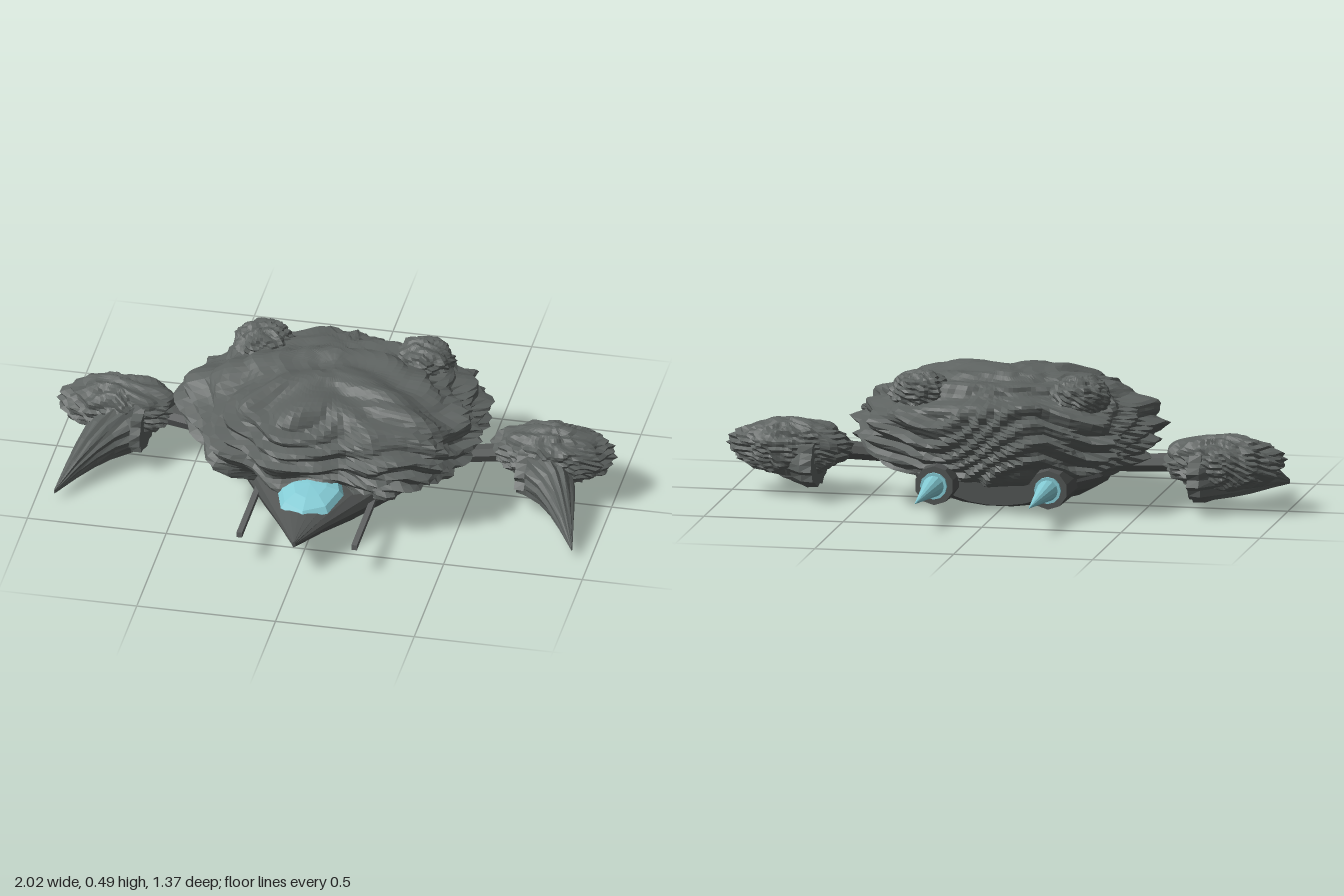
import * as THREE from 'three';

const mat = (name, color) => {
  const m = new THREE.MeshStandardMaterial({ color });
  m.name = name;
  return m;
};

// Faceted normals
function facet(geo) {
  const g = geo.index ? geo.toNonIndexed() : geo;
  g.computeVertexNormals();
  return g;
}

// Closed skin over rings that turn counter-clockwise about the travel direction
function loft(rings) {
  const n = rings[0].length, pos = [], idx = [];
  rings.forEach(r => r.forEach(p => pos.push(p.x, p.y, p.z)));
  for (let i = 0; i < rings.length - 1; i++) {
    for (let j = 0; j < n; j++) {
      const k = (j + 1) % n, a = i * n + j, b = i * n + k;
      idx.push(a, b, a + n, b, b + n, a + n);
    }
  }
  const last = (rings.length - 1) * n;
  for (let j = 1; j < n - 1; j++) {
    idx.push(0, j + 1, j, last, last + j, last + j + 1);
  }
  const g = new THREE.BufferGeometry();
  g.setAttribute('position', new THREE.Float32BufferAttribute(pos, 3));
  g.setIndex(idx);
  return facet(g);
}

// Plan outlines: radius by angle, from +x towards +z
const ellipse = (rx, rz) => a => 1 / Math.hypot(Math.cos(a) / rx, Math.sin(a) / rz);
const SHELL_RADII = [
  0.51, 0.53, 0.545, 0.52, 0.47, 0.41, 0.43, 0.465, 0.43, 0.51, 0.47, 0.51,
  0.555, 0.5, 0.48, 0.44, 0.4, 0.41, 0.39, 0.37, 0.4, 0.46, 0.52, 0.535
];
function shellOutline(a) {
  const n = SHELL_RADII.length;
  const t = ((a / (Math.PI * 2) + 1) % 1) * n, i = Math.floor(t), f = t - i;
  const k = f * f * (3 - 2 * f);
  return SHELL_RADII[i % n] * (1 - k) + SHELL_RADII[(i + 1) % n] * k;
}

// Boulder: a sphere spread over a plan outline, with lobes, ridges and wavy, tilted ledges
function rockGeo(outline, top, bottom, seed, ledges, rough, lobeSize, seg) {
  const g = new THREE.SphereGeometry(1, seg, Math.round(seg * 0.6));
  const p = g.attributes.position;
  for (let i = 0; i < p.count; i++) {
    const x = p.getX(i), y = p.getY(i), z = p.getZ(i);
    const lobes = Math.sin(5 * x + 3 * z + seed) * Math.sin(6 * z - 2 * x + 2 * y + seed * 2)
      + 0.6 * Math.sin(11 * x - 8 * z + 3 * y + seed * 3);
    const layer = (y + 0.4 * x) * ledges + 0.7 * Math.sin(4 * x + 2 * z + seed) + 0.6 * Math.sin(6 * z - 3 * x + seed * 2);
    const turn = layer * Math.PI * 2;
    const step = 0.45 * Math.sin(turn) - 0.16 * Math.sin(2 * turn);
    const ridge = Math.sin(17 * z + 2 * Math.sin(4 * x + seed) + 3 * y);
    const side = 1 + lobes * lobeSize + rough * (0.9 * step + 0.3 * ridge);
    const up = 1 + rough * (0.5 * ridge + 0.3 * lobes + 0.3 * step);
    const spread = outline(Math.atan2(z, x)) * side;
    p.setXYZ(i, x * spread, y * up * (y > 0 ? top : bottom), z * spread);
  }
  return facet(g);
}

export function createModel() {
  const root = new THREE.Group();
  root.name = 'rockShellShip';
  const stone = mat('stone', 0x5d6260);
  const hullGrey = mat('hullGrey', 0x525554);
  const metal = mat('metal', 0x606363);
  const glow = mat('glowBlue', 0x84cbd5);

  const add = (name, geo, material, x = 0, y = 0, z = 0) => {
    const m = new THREE.Mesh(geo, material);
    m.name = name;
    m.position.set(x, y, z);
    root.add(m);
    return m;
  };

  // Pointed hull: z, half width, bottom, top
  const sections = [
    [-0.235, 0.2, 0.03, 0.18], [-0.19, 0.27, 0.018, 0.2], [-0.06, 0.34, 0.006, 0.21],
    [0.07, 0.36, 0.001, 0.22], [0.22, 0.28, 0.012, 0.215], [0.38, 0.185, 0.038, 0.198],
    [0.54, 0.09, 0.085, 0.172], [0.688, 0.006, 0.122, 0.145]
  ];
  const hullRings = sections.map(([z, w, lo, hi]) => Array.from({ length: 18 }, (_, j) => {
    const a = j / 18 * Math.PI * 2, mid = lo + (hi - lo) * 0.52;
    const s = Math.sin(a);
    return new THREE.Vector3(Math.cos(a) * w, mid + s * (s > 0 ? hi - mid : mid - lo), z);
  }));
  add('hull', loft(hullRings), hullGrey);

  // Cockpit canopy, sloping down to the nose
  const canopy = new THREE.SphereGeometry(1, 8, 6);
  canopy.scale(0.12, 0.04, 0.15);
  canopy.rotateX(0.16);
  add('canopy', facet(canopy), glow, 0, 0.182, 0.405);

  // Stone shell over the back
  add('shell', rockGeo(shellOutline, 0.19, 0.225, 1.3, 3.2, 0.1, 0.014, 90), stone, 0, 0.288, 0);

  for (const s of [1, -1]) {
    const side = s > 0 ? 'left' : 'right';

    // Boulder on the shell
    add(side + 'Boulder', rockGeo(ellipse(0.106, 0.108), 0.07, 0.07, 2 + s, 3.5, 0.13, 0.05, 40), stone, s * 0.288, 0.42, -0.168);

    // Forward gun
    add(side + 'Gun', facet(new THREE.BoxGeometry(0.02, 0.02, 0.36)), metal, s * 0.207, 0.118, 0.46);

    // Engine with nozzle ring and exhaust spike
    const engine = new THREE.CylinderGeometry(0.07, 0.076, 0.24, 10);
    engine.rotateX(-Math.PI / 2);
    add(side + 'Engine', facet(engine), hullGrey, s * 0.205, 0.113, -0.22);
    const nozzle = new THREE.CylinderGeometry(0.048, 0.048, 0.02, 12);
    nozzle.rotateX(Math.PI / 2);
    add(side + 'Nozzle', facet(nozzle), glow, s * 0.205, 0.113, -0.341);
    const flame = new THREE.ConeGeometry(0.038, 0.335, 12);
    flame.rotateX(-Math.PI / 2);
    add(side + 'Exhaust', facet(flame), glow, s * 0.205, 0.113, -0.517);

    // Arm out to the pod
    const from = new THREE.Vector3(s * 0.28, 0.142, 0.03), to = new THREE.Vector3(s * 0.66, 0.172, -0.03);
    const arm = add(side + 'Arm', facet(new THREE.CylinderGeometry(0.036, 0.03, from.distanceTo(to), 8)), hullGrey);
    arm.position.copy(from).lerp(to, 0.5);
    arm.quaternion.setFromUnitVectors(new THREE.Vector3(0, 1, 0), to.clone().sub(from).normalize());

    // Stone pod
    add(side + 'Pod', rockGeo(ellipse(0.215, 0.12), 0.097, 0.097, 4 + s * 0.7, 4, 0.12, 0.035, 52), stone, s * 0.781, 0.178, -0.045);

    // Curved horn: x, y, z, yaw from sideways to forward, half width, half height
    const horn = [
      [0.675, 0.138, -0.04, 0, 0.165, 0.096], [0.715, 0.138, -0.035, 0.02, 0.165, 0.098],
      [0.73, 0.135, -0.01, 0.35, 0.125, 0.094], [0.775, 0.127, 0.045, 0.8, 0.093, 0.088],
      [0.82, 0.115, 0.11, 1.1, 0.068, 0.076], [0.855, 0.098, 0.18, 1.2, 0.047, 0.06],
      [0.89, 0.075, 0.26, 1.25, 0.027, 0.04], [0.932, 0.038, 0.36, 1.25, 0.003, 0.008]
    ];
    const hornRings = horn.map(([x, y, z, yaw, w, h], i) => {
      const d = new THREE.Vector3(s * Math.cos(yaw), 0, Math.sin(yaw));
      return Array.from({ length: 28 }, (_, j) => {
        const a = j / 28 * Math.PI * 2;
        const r = 1 + 0.08 * Math.sin(j * 2.6 + i * 0.5);
        const u = Math.cos(a) * w * r;
        return new THREE.Vector3(s * x + d.z * u, y + Math.sin(a) * h * r, z - d.x * u);
      });
    });
    add(side + 'Horn', loft(hornRings), stone);
  }
  return root;
}
